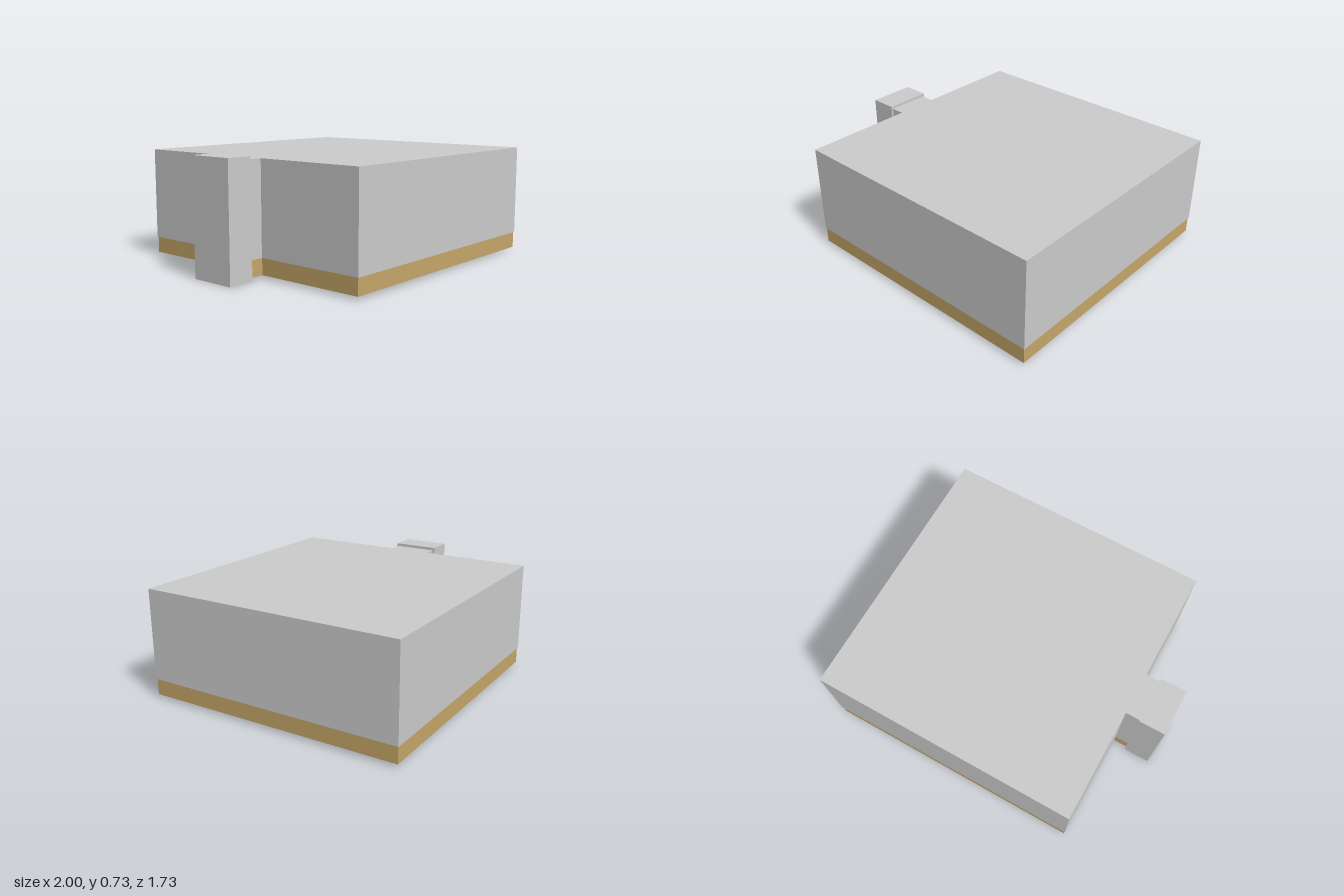
import * as THREE from 'three';

const CX = 0.13; // centre of the square block on x

const paint = (color) => new THREE.MeshStandardMaterial({ color, flatShading: true });

// Square plan with a tongue on the -x side and an optional square opening
function plan(half, tongueHalf, tongueEnd, holeHalf) {
  const l = CX - half, r = CX + half;
  const shape = new THREE.Shape([
    [l, -half], [r, -half], [r, half], [l, half],
    [l, tongueHalf], [tongueEnd, tongueHalf], [tongueEnd, -tongueHalf], [l, -tongueHalf],
  ].map(([x, y]) => new THREE.Vector2(x, y)));
  if (holeHalf) {
    const h = holeHalf;
    shape.holes.push(new THREE.Path([[-h, -h], [-h, h], [h, h], [h, -h]]
      .map(([x, y]) => new THREE.Vector2(CX + x, y))));
  }
  return shape;
}

// Flat slab standing between two heights
function slab(name, shape, y0, y1, material) {
  const geometry = new THREE.ExtrudeGeometry(shape, { depth: y1 - y0, bevelEnabled: false });
  geometry.rotateX(-Math.PI / 2);
  geometry.translate(0, y0, 0);
  const mesh = new THREE.Mesh(geometry, material);
  mesh.name = name;
  return mesh;
}

export function createModel() {
  const group = new THREE.Group();
  group.name = 'block';
  const grey = paint(0xcccccc);
  const tan = paint(0xc5a668);
  const dark = paint(0x5a5658);

  group.add(
    // Upper walls around the square shaft, closed by a thin roof
    slab('upperWalls', plan(0.867, 0.14, -0.83, 0.235), 0.125, 0.7, grey),
    slab('roof', plan(0.867, 0.14, -0.83), 0.7, 0.714, grey),
    // Slightly inset base and the dark panel under it
    slab('base', plan(0.862, 0.137, -0.83, 0.24), 0.02, 0.125, tan),
    slab('bottomPanel', plan(0.797, 0.075, -0.765, 0.31), 0.017, 0.03, dark),
  );

  // Post at the end of the tongue
  const post = new THREE.Mesh(new THREE.BoxGeometry(0.172, 0.733, 0.306), grey);
  post.name = 'post';
  post.position.set(-0.914, 0.3665, 0);
  group.add(post);

  return group;
}
